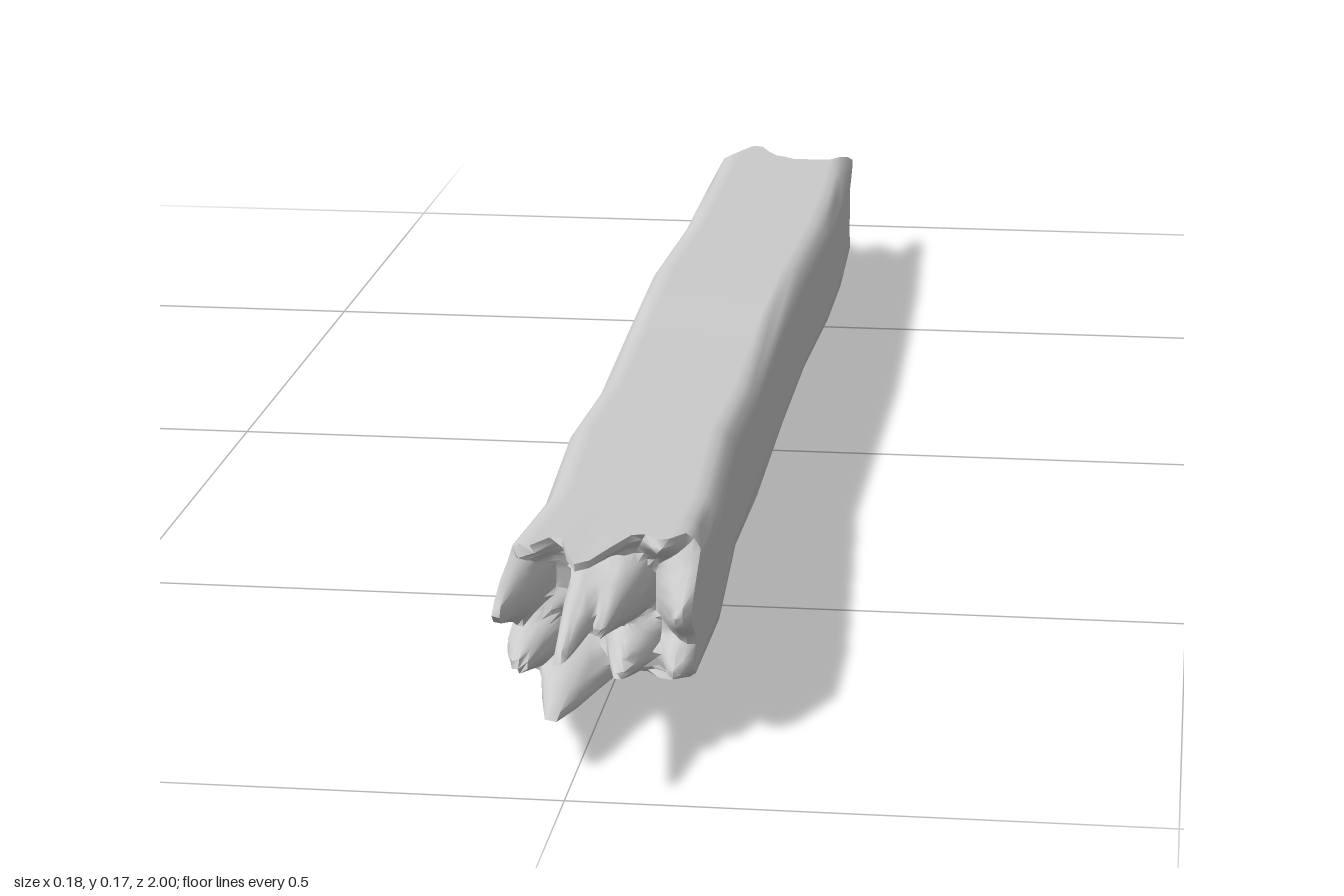
import * as THREE from 'three';
import { mergeVertices, toCreasedNormals } from 'three/addons/utils/BufferGeometryUtils.js';

// Beam course: z, left edge, right edge, bottom, top
const STATIONS = [
  [-0.88, -0.09, 0.07, 0.002, 0.13],
  [-0.62, -0.088, 0.079, 0.008, 0.134],
  [-0.45, -0.085, 0.08, 0.013, 0.138],
  [-0.2, -0.088, 0.077, 0.025, 0.148],
  [0, -0.084, 0.075, 0.022, 0.148],
  [0.25, -0.08, 0.075, 0.018, 0.143],
  [0.45, -0.079, 0.077, 0.033, 0.158],
  [0.67, -0.067, 0.088, 0.036, 0.162],
  [0.85, -0.078, 0.085, 0.038, 0.168],
];

// Splinters of each break: u, v in the section (-1..1), reach in z, radii in u and v
const FRONT = {
  dir: 1, base: 0.78,
  spikes: [
    [-0.1, 0.25, 1.0, 0.3, 0.35], [0.15, 0.2, 0.91, 0.35, 0.5],
    [-0.3, -0.9, 0.93, 0.45, 0.4], [0.3, -0.55, 0.88, 0.35, 0.4],
    [-0.95, 0.25, 0.89, 0.35, 0.6], [-0.75, -0.5, 0.88, 0.4, 0.45],
    [0.9, 0.1, 0.85, 0.4, 0.75], [0.85, -0.6, 0.86, 0.35, 0.45],
    [-0.1, 0.95, 0.89, 0.45, 0.3], [-0.75, 0.9, 0.86, 0.35, 0.3],
    [0.6, 0.9, 0.82, 0.3, 0.3],
  ],
};
const BACK = {
  dir: -1, base: 0.81,
  spikes: [
    [-0.72, 0.15, 1.0, 0.38, 0.36], [-0.88, 0.6, 0.94, 0.35, 0.35],
    [-0.2, 0.3, 0.94, 0.3, 0.35], [-0.5, -0.85, 0.92, 0.45, 0.32],
    [0.15, -0.9, 0.88, 0.45, 0.35], [0.7, -0.75, 0.9, 0.4, 0.4],
    [0.75, 0.1, 0.87, 0.3, 0.5], [0.95, 0.75, 0.88, 0.25, 0.4],
    [-0.5, 0.95, 0.89, 0.4, 0.25], [0.35, 0.55, 0.85, 0.3, 0.35],
  ],
};

// Chamfered rectangle in unit coordinates, counter-clockwise seen from +z
function makeOutline() {
  const a = 0.84, b = 0.8;
  const corners = [[1, -b], [1, b], [a, 1], [-a, 1], [-1, b], [-1, -b], [-a, -1], [a, -1]];
  const points = [];
  corners.forEach(([u, v], i) => {
    const [u2, v2] = corners[(i + 1) % 8];
    const n = i % 2 ? 2 : 12;
    for (let k = 0; k < n; k++) points.push([u + (u2 - u) * k / n, v + (v2 - v) * k / n]);
  });
  return points;
}
const OUTLINE = makeOutline();

// Place a unit section point on the beam at z
function place(u, v, z) {
  let i = 0;
  while (i < STATIONS.length - 2 && STATIONS[i + 1][0] < z) i++;
  const p = STATIONS[i], q = STATIONS[i + 1];
  const t = THREE.MathUtils.clamp((z - p[0]) / (q[0] - p[0]), 0, 1);
  const [, l, r, b, h] = p.map((n, k) => n + (q[k] - n) * t);
  return [(l + r) / 2 + u * (r - l) / 2, (b + h) / 2 + v * (h - b) / 2, z];
}

// Jagged reach of a break at a section point
function reach({ dir, base, spikes }, u, v) {
  let z = base + 0.012 * Math.sin(7 * u + 3 * v) + 0.01 * Math.sin(8 * v - 4 * u);
  for (const [su, sv, tip, ru, rv] of spikes) {
    const t = 1.2 * (1 - Math.hypot((u - su) / ru, (v - sv) / rv));
    z = Math.max(z, base + (tip - base) * THREE.MathUtils.clamp(t, 0, 1));
  }
  return dir * z;
}

// Skin closed rows of points
function loft(rows, crease) {
  const n = OUTLINE.length, index = [];
  for (let j = 0; j < rows.length - 1; j++) {
    for (let i = 0; i < n; i++) {
      const a = j * n + i, b = j * n + (i + 1) % n;
      index.push(a, b, a + n, b, b + n, a + n);
    }
  }
  const geometry = new THREE.BufferGeometry();
  geometry.setAttribute('position', new THREE.Float32BufferAttribute(rows.flat(2), 3));
  geometry.setIndex(index);
  return toCreasedNormals(mergeVertices(geometry), crease);
}

// Row of a break: the outline shrunk by k and pushed to its jagged reach
const breakRow = (end, k) => OUTLINE.map(([u, v]) => place(u * k, v * k, reach(end, u * k, v * k)));

export function createModel() {
  const group = new THREE.Group();
  group.name = 'brokenBeam';
  const material = new THREE.MeshStandardMaterial({ color: 0xcccccc, side: THREE.DoubleSide });
  const add = (name, geometry) => {
    const mesh = new THREE.Mesh(geometry, material);
    mesh.name = name;
    group.add(mesh);
  };

  // Long warped shaft, running out to the jagged rims
  const levels = [-0.74, -0.62, -0.45, -0.2, 0, 0.25, 0.45, 0.67, 0.74];
  const rows = levels.map((z) => OUTLINE.map(([u, v]) => place(u, v, z)));
  add('beamShaft', loft([breakRow(BACK, 1), ...rows, breakRow(FRONT, 1)], 0.9));

  // Splintered ends, from rim to centre
  const steps = Array.from({ length: 13 }, (_, i) => 1 - i / 12);
  add('frontBreak', loft(steps.map((k) => breakRow(FRONT, k)), 0.9));
  add('backBreak', loft([...steps].reverse().map((k) => breakRow(BACK, k)), 0.9));
  return group;
}
